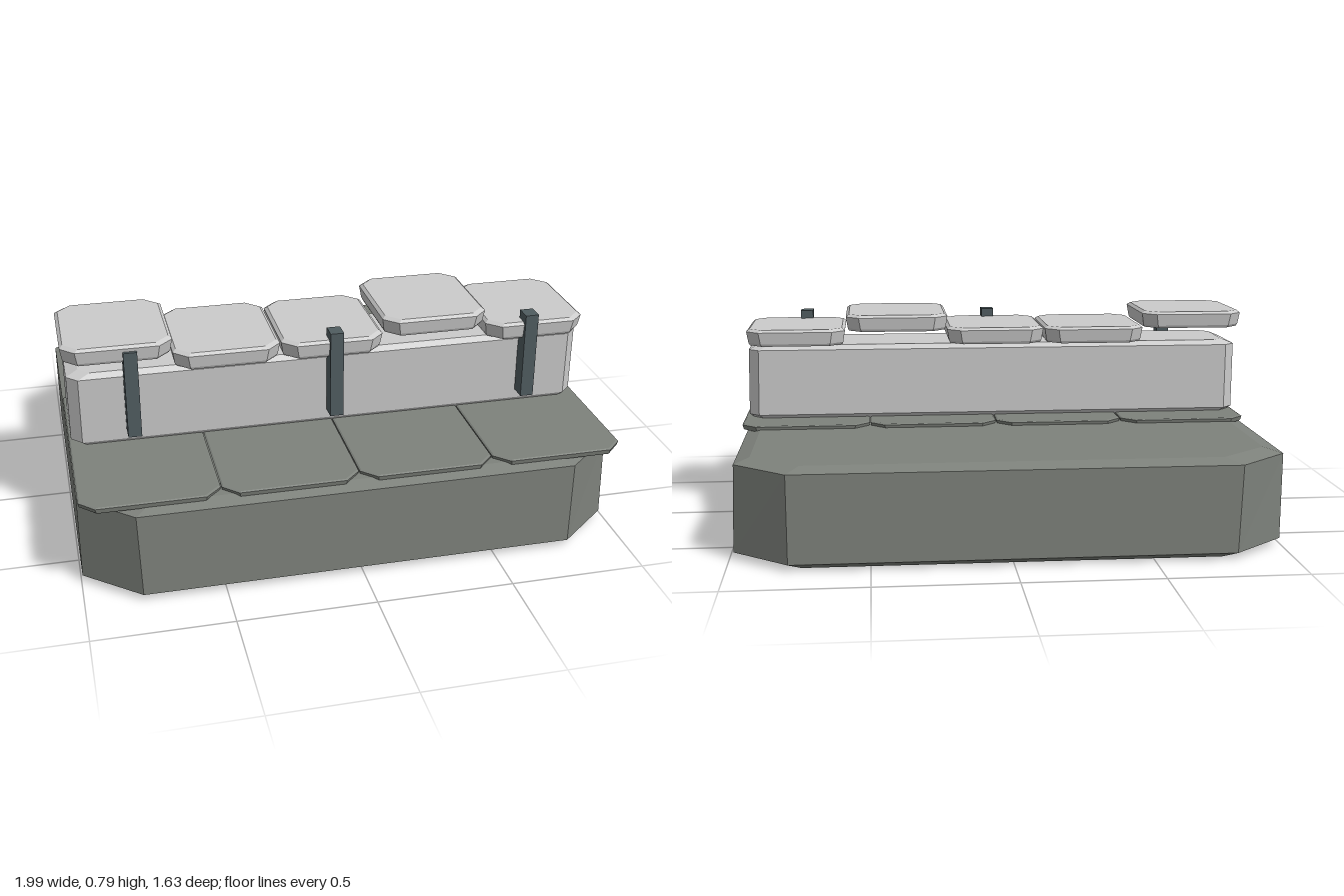
import * as THREE from 'three';

const stone = new THREE.MeshStandardMaterial({ color: 0x7e827c, flatShading: true });
const pale = new THREE.MeshStandardMaterial({ color: 0xcccccc, flatShading: true });
const iron = new THREE.MeshStandardMaterial({ color: 0x505c60, flatShading: true });

// Rectangle with cut corners, counter-clockwise seen from above
function outline([y, x0, x1, z0, z1, cx, cz]) {
  return [
    [x1, z1 - cz], [x1, z0 + cz], [x1 - cx, z0], [x0 + cx, z0],
    [x0, z0 + cz], [x0, z1 - cz], [x0 + cx, z1], [x1 - cx, z1],
  ].map(([x, z]) => [x, y, z]);
}

// Closed block lofted through cut-corner rings, listed bottom to top
function block(name, rings, material) {
  const loops = rings.map(outline);
  const pos = [];
  const tri = (...pts) => pts.forEach((p) => pos.push(...p));
  for (let k = 0; k < loops.length - 1; k++) {
    const a = loops[k], b = loops[k + 1];
    for (let i = 0; i < 8; i++) {
      const j = (i + 1) % 8;
      tri(a[i], a[j], b[j]);
      tri(a[i], b[j], b[i]);
    }
  }
  const low = loops[0], high = loops[loops.length - 1];
  for (let i = 1; i < 7; i++) {
    tri(high[0], high[i], high[i + 1]);
    tri(low[0], low[i + 1], low[i]);
  }
  const geometry = new THREE.BufferGeometry();
  geometry.setAttribute('position', new THREE.Float32BufferAttribute(pos, 3));
  geometry.computeVertexNormals();
  const mesh = new THREE.Mesh(geometry, material);
  mesh.name = name;
  return mesh;
}

// Flat slab with small bevels above and below
function slab(name, x0, x1, z0, z1, y0, y1, cut, bevel, material) {
  const h = y1 - y0;
  const ring = (y, d) => [y, x0 + d, x1 - d, z0 + d, z1 - d, cut, cut];
  return block(name, [ring(y0, bevel), ring(y0 + h * 0.15, bevel * 0.6), ring(y1 - h * 0.15, 0), ring(y1, bevel)], material);
}

export function createModel() {
  const model = new THREE.Group();
  model.name = 'stoneWall';

  // Heavy foundation
  model.add(block('foundation', [
    [0, -0.94, 0.93, -0.77, 0.77, 0.19, 0.16],
    [0.025, -0.995, 0.985, -0.815, 0.81, 0.2, 0.17],
    [0.345, -0.995, 0.975, -0.82, 0.815, 0.19, 0.17],
    [0.362, -0.93, 0.92, -0.76, 0.76, 0.18, 0.15],
  ], stone));

  // Paving slabs under the wall
  const paving = new THREE.Group();
  paving.name = 'paving';
  for (let i = 0; i < 4; i++) {
    const x = -0.993 + i * 0.497;
    paving.add(slab('pavingSlab', x, x + 0.494, -0.15, 0.78, 0.354, 0.377, 0.055, 0.006, stone));
  }
  model.add(paving);

  // Wall body, widening slightly upward
  model.add(block('wall', [
    [0.37, -0.96, 0.95, 0.02, 0.31, 0.04, 0.04],
    [0.39, -0.985, 0.975, 0.005, 0.325, 0.04, 0.04],
    [0.65, -0.985, 0.97, 0, 0.34, 0.04, 0.04],
    [0.668, -0.94, 0.93, 0.02, 0.32, 0.04, 0.04],
  ], pale));

  // Cap stones, two of them raised
  const caps = new THREE.Group();
  caps.name = 'capStones';
  [
    [-1, -0.6, 0.725], [-0.6, -0.205, 0.67], [-0.2, 0.185, 0.67],
    [0.185, 0.585, 0.725], [0.59, 0.975, 0.67],
  ].forEach(([x0, x1, y], i) => {
    caps.add(slab('capStone', x0, x1, i % 2 ? -0.055 : -0.045, 0.39, y, y + 0.065, 0.05, 0.012, pale));
  });
  model.add(caps);

  // Iron posts along the front
  for (const x of [-0.757, -0.003, 0.752]) {
    const post = new THREE.Mesh(new THREE.BoxGeometry(0.05, 0.335, 0.064), iron);
    post.name = 'frontPost';
    post.position.set(x, 0.6, 0.369);
    model.add(post);
  }
  return model;
}
